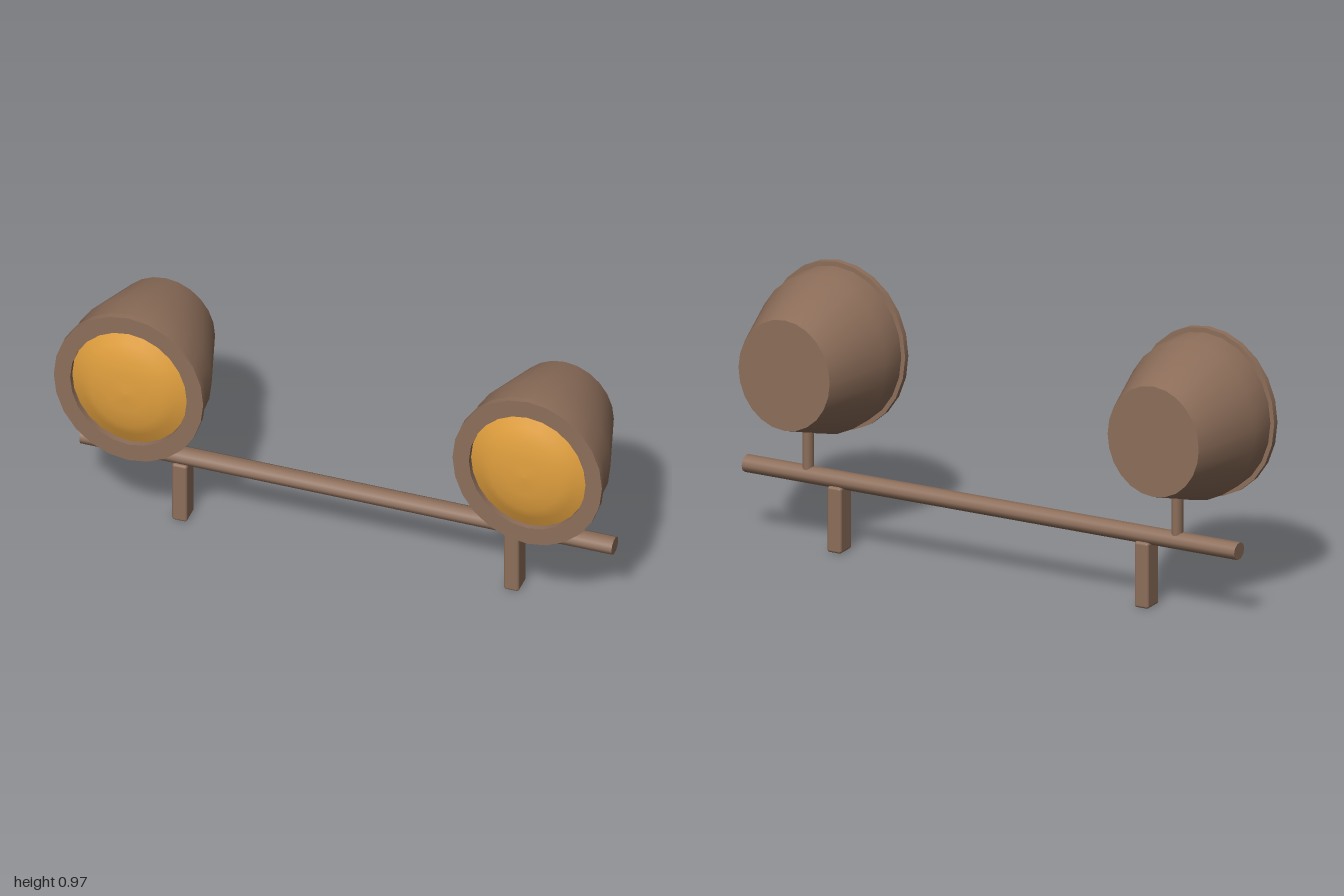
import * as THREE from 'three';
import { toCreasedNormals } from 'three/addons/utils/BufferGeometryUtils.js';
import { RoundedBoxGeometry } from 'three/addons/geometries/RoundedBoxGeometry.js';

const SEGMENTS = 24;
const LAMP_X = 0.727, LAMP_Y = 0.666, LAMP_WIDTH = 0.893;
const BAR_Y = 0.257, BAR_Z = -0.04;

// Revolve [radius, z] points around the z axis, slightly narrowed in x
function revolve(points, crease) {
  let geo = new THREE.LatheGeometry(points.map(([r, z]) => new THREE.Vector2(r, z)), SEGMENTS);
  geo.rotateX(Math.PI / 2);
  geo.scale(LAMP_WIDTH, 1, 1);
  if (crease) geo = toCreasedNormals(geo, crease);
  return geo;
}

export function createModel() {
  const model = new THREE.Group();
  model.name = 'lampBar';

  const brown = new THREE.MeshStandardMaterial({ color: 0x8d6e5a });
  brown.name = 'brownHousing';
  const amber = new THREE.MeshStandardMaterial({ color: 0xe09f3e });
  amber.name = 'amberLens';

  const add = (parent, name, geo, mat, x = 0, y = 0, z = 0) => {
    const mesh = new THREE.Mesh(geo, mat);
    mesh.name = name;
    mesh.position.set(x, y, z);
    parent.add(mesh);
    return mesh;
  };

  // Tapered housing, closed at the back
  const housingGeo = revolve([[0, -0.212], [0.201, -0.212], [0.288, 0.046], [0.288, 0.158]], 0.5);
  // Front ring with a shallow recess for the lens
  const rimGeo = revolve([
    [0.22, 0.156], [0.305, 0.156], [0.305, 0.179], [0.238, 0.179], [0.238, 0.15],
  ], 0.5);
  // Shallow domed lens
  const lensGeo = revolve([[0.238, 0.157], [0.19, 0.18], [0.145, 0.2], [0.075, 0.209], [0, 0.213]]);

  // Oval post and rounded foot
  const stemGeo = new THREE.CylinderGeometry(0.024, 0.024, 0.19, 16);
  stemGeo.scale(0.8, 1, 1);
  const footGeo = new RoundedBoxGeometry(0.056, 0.24, 0.08, 3, 0.01);

  for (const side of [-1, 1]) {
    const prefix = side > 0 ? 'left' : 'right';
    const lamp = new THREE.Group();
    lamp.name = prefix + 'Lamp';
    lamp.position.set(side * LAMP_X, LAMP_Y, 0);
    add(lamp, 'housing', housingGeo, brown);
    add(lamp, 'rim', rimGeo, brown);
    add(lamp, 'lens', lensGeo, amber);
    model.add(lamp);

    add(model, prefix + 'Stem', stemGeo, brown, side * LAMP_X, 0.355, BAR_Z);
    add(model, prefix + 'Foot', footGeo, brown, side * 0.605, 0.12, BAR_Z);
  }

  // Ten-sided crossbar, a little flattened
  const barGeo = new THREE.CylinderGeometry(0.036, 0.036, 1.94, 10);
  barGeo.rotateZ(Math.PI / 2);
  barGeo.scale(1, 0.86, 1);
  add(model, 'crossbar', barGeo, brown, 0, BAR_Y, BAR_Z);

  return model;
}
